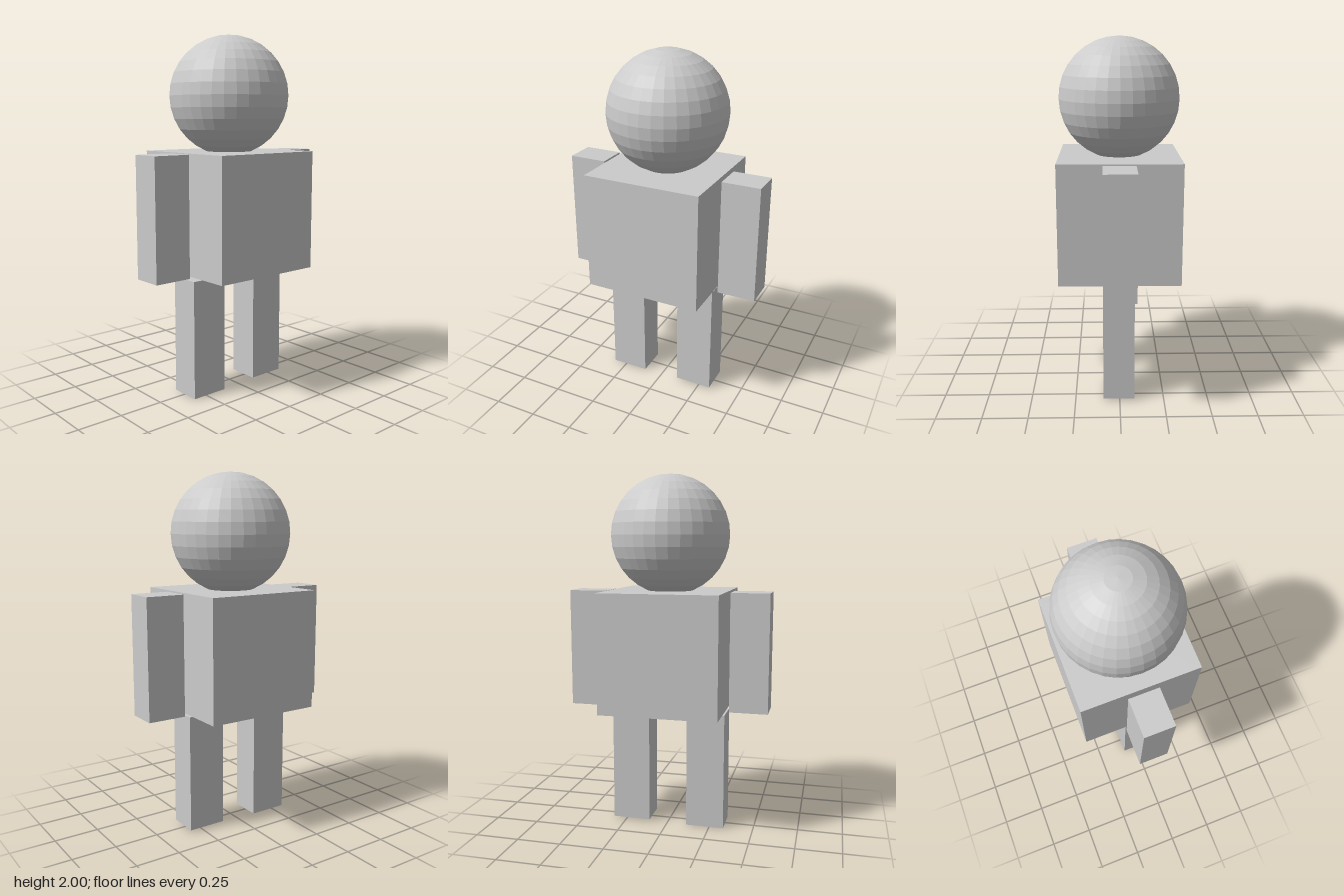
import * as THREE from 'three';

const material = new THREE.MeshStandardMaterial({ color: 0xcccccc, flatShading: true });

export function createModel() {
  const group = new THREE.Group();

  function add(name, geometry, x, y, z) {
    const mesh = new THREE.Mesh(geometry, material);
    mesh.name = name;
    mesh.position.set(x, y, z);
    group.add(mesh);
  }

  // Faceted ball head, sunk slightly into the torso
  add('head', new THREE.SphereGeometry(0.333, 32, 16), -0.001, 1.667, -0.002);

  // Cube torso
  add('torso', new THREE.BoxGeometry(0.667, 0.667, 0.667), -0.002, 1.026, -0.001);

  // Arms and legs share one block shape; the legs are slightly uneven
  const limb = new THREE.BoxGeometry(0.217, 0.667, 0.174);
  add('leftArm', limb, 0.464, 1.022, 0.002);
  add('rightArm', limb, -0.465, 1.022, 0.002);
  add('leftLeg', limb, 0.215, 0.344, 0.005);
  add('rightLeg', limb, -0.223, 0.3335, 0.005);

  return group;
}
